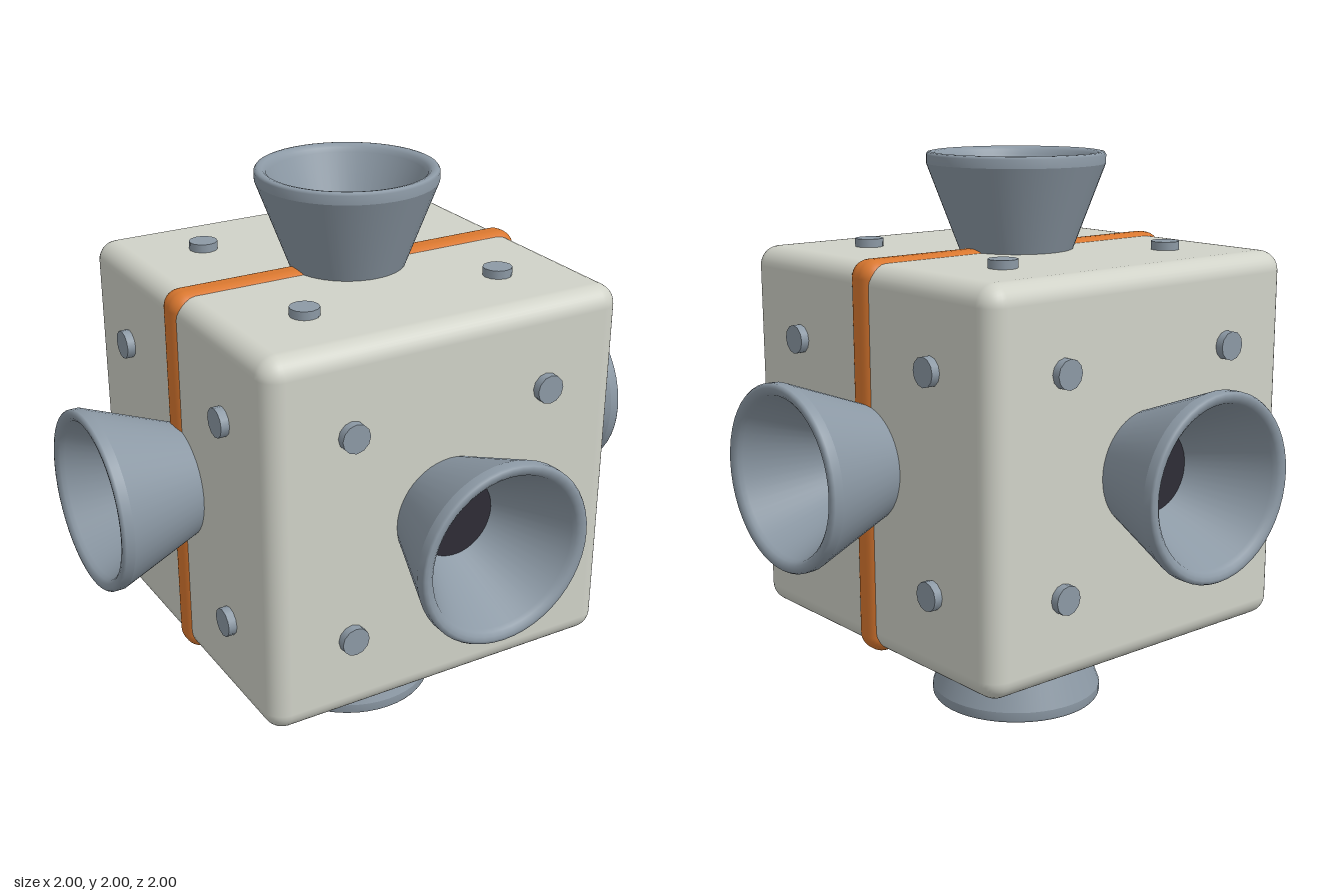
import * as THREE from 'three';
import { RoundedBoxGeometry } from 'three/addons/geometries/RoundedBoxGeometry.js';

function material(name, color) {
  const m = new THREE.MeshStandardMaterial({ color });
  m.name = name;
  return m;
}

export function createModel() {
  const shell = material('pale shell', 0xd0d2c8);
  const steel = material('blue grey steel', 0x8c99a5);
  const orange = material('orange', 0xd9772f);
  const dark = material('dark throat', 0x2e2c36);

  const model = new THREE.Group();
  model.name = 'thrusterCube';

  function add(parent, name, geometry, mat, x = 0, y = 0, z = 0) {
    const mesh = new THREE.Mesh(geometry, mat);
    mesh.name = name;
    mesh.position.set(x, y, z);
    parent.add(mesh);
    return mesh;
  }

  // Rounded body with a band around its sides, top and bottom
  add(model, 'body', new RoundedBoxGeometry(1.33, 1.33, 1.33, 4, 0.07), shell, 0, 1, 0);
  add(model, 'band', new RoundedBoxGeometry(1.354, 1.354, 0.14, 4, 0.06), orange, 0, 1, 0);

  // Nozzle wall: outside cone, lip, then the inside cone down to the throat
  const wall = (points) =>
    new THREE.LatheGeometry(points.map(([r, y]) => new THREE.Vector2(r, y)), 48);
  const outer = wall([[0.187, 0.63], [0.312, 0.96]]);
  const lip = wall([[0.312, 0.96], [0.312, 0.99], [0.307, 0.998], [0.297, 1.0],
    [0.284, 0.997], [0.273, 0.988], [0.266, 0.972]]);
  const inner = wall([[0.266, 0.972], [0.14, 0.7]]);
  const throat = new THREE.CylinderGeometry(0.142, 0.142, 0.008, 48);
  const bolt = new THREE.CylinderGeometry(0.05, 0.05, 0.06, 12);

  // One nozzle and four bolts on each of the six faces, built along +y and turned
  const faces = {
    top: [0, 0, 0],
    bottom: [Math.PI, 0, 0],
    front: [Math.PI / 2, 0, 0],
    back: [-Math.PI / 2, 0, 0],
    left: [0, 0, -Math.PI / 2],
    right: [0, 0, Math.PI / 2],
  };
  for (const [side, turn] of Object.entries(faces)) {
    const face = new THREE.Group();
    face.name = side + 'Face';
    face.position.y = 1;
    face.rotation.set(...turn);
    model.add(face);

    const nozzle = new THREE.Group();
    nozzle.name = side + 'Nozzle';
    face.add(nozzle);
    add(nozzle, 'nozzleOutside', outer, steel);
    add(nozzle, 'nozzleLip', lip, steel);
    add(nozzle, 'nozzleInside', inner, steel);
    add(nozzle, 'nozzleThroat', throat, dark, 0, 0.698, 0);

    for (const x of [-0.368, 0.368]) {
      for (const z of [-0.368, 0.368]) add(face, 'bolt', bolt, steel, x, 0.664, z);
    }
  }
  return model;
}
